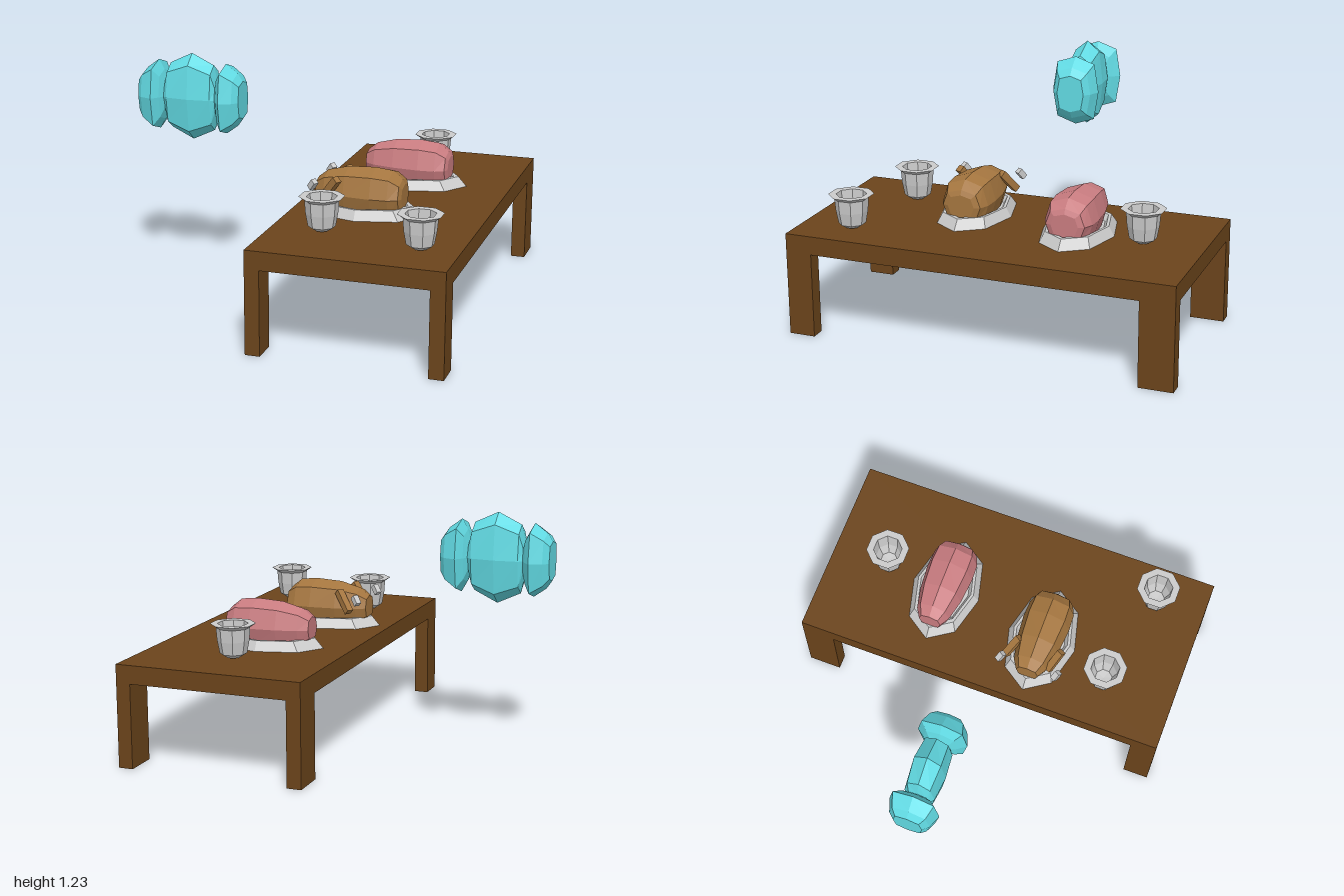
import * as THREE from 'three';

const paint = (color) => new THREE.MeshStandardMaterial({ color, flatShading: true });

function add(parent, name, geometry, material, x = 0, y = 0, z = 0) {
  const mesh = new THREE.Mesh(geometry, material);
  mesh.name = name;
  mesh.position.set(x, y, z);
  parent.add(mesh);
  return mesh;
}

// Eight-sided oval rings along x, each [x, half height, half depth]; ends are closed.
// "square" is how far the diagonal corners reach out (0.71 = regular octagon).
function loft(rings, square) {
  const first = rings[0], last = rings[rings.length - 1];
  const all = [[first[0], 0, 0], ...rings, [last[0], 0, 0]];
  const pos = [], index = [], n = 8;
  for (const [x, ry, rz] of all) {
    for (let j = 0; j < n; j++) {
      const a = (j / n) * Math.PI * 2;
      const k = j % 2 ? square / Math.SQRT1_2 : 1;
      pos.push(x, Math.cos(a) * ry * k, Math.sin(a) * rz * k);
    }
  }
  for (let i = 0; i < all.length - 1; i++) {
    for (let j = 0; j < n; j++) {
      const a = i * n + j, b = i * n + ((j + 1) % n);
      index.push(a, b, a + n, b, b + n, a + n);
    }
  }
  const g = new THREE.BufferGeometry();
  g.setAttribute('position', new THREE.Float32BufferAttribute(pos, 3));
  g.setIndex(index);
  g.computeVertexNormals();
  return g;
}

const lathe = (points, start) =>
  new THREE.LatheGeometry(points.map(([r, y]) => new THREE.Vector2(r, y)), 8, start);

// Box bar running between two points
function bar(parent, name, from, to, thick, material) {
  const a = new THREE.Vector3(...from), b = new THREE.Vector3(...to);
  const mesh = add(parent, name, new THREE.BoxGeometry(thick, thick, a.distanceTo(b)), material);
  mesh.position.copy(a).add(b).multiplyScalar(0.5);
  mesh.lookAt(b);
}

export function createModel() {
  const model = new THREE.Group();
  const wood = paint(0x6b441b), metal = paint(0xcccccc), gem = paint(0x62dbe4);
  const roast = paint(0xa5763f), ham = paint(0xc97c80);

  // Table
  const table = new THREE.Group();
  table.name = 'table';
  model.add(table);
  add(table, 'tableTop', new THREE.BoxGeometry(0.98, 0.095, 2), wood, 0.47, 0.4825, 0);
  for (const x of [0.0175, 0.9225]) {
    add(table, 'frontLeg', new THREE.BoxGeometry(0.075, 0.436, 0.135), wood, x, 0.218, 0.9325);
    add(table, 'backLeg', new THREE.BoxGeometry(0.075, 0.436, 0.175), wood, x, 0.218, -0.9125);
  }

  // Cups with flared rims and hollow bowls
  const cupShape = lathe([[0, 0], [0.035, 0.004], [0.068, 0.025], [0.08, 0.09], [0.085, 0.155],
    [0.114, 0.175], [0.076, 0.175], [0.068, 0.09], [0.045, 0.035], [0, 0.03]], Math.PI / 8);
  for (const [x, z] of [[0.47, -0.69], [0.24, 0.615], [0.765, 0.73]]) {
    add(model, 'cup', cupShape, metal, x, 0.533, z);
  }

  // Platters, each carrying a joint of meat
  const platterShape = lathe([[0, 0], [1, 0], [0.85, 0.05], [0.77, 0.05], [0.68, 0.02], [0, 0.02]], 0);
  const meatShape = loft([[-0.24, 0.06, 0.06], [-0.19, 0.1, 0.09], [-0.08, 0.128, 0.115],
    [0.06, 0.135, 0.127], [0.15, 0.125, 0.122], [0.2, 0.085, 0.1], [0.212, 0.06, 0.07]], 0.76);
  const serve = (name, x, z, material) => {
    const dish = new THREE.Group();
    dish.name = name;
    dish.position.set(x, 0.53, z);
    model.add(dish);
    add(dish, 'platter', platterShape, metal).scale.set(0.3, 1, 0.185);
    add(dish, 'meat', meatShape, material, 0, 0.1, 0);
    return dish;
  };
  serve('hamDish', 0.43, -0.345, ham);
  const bird = serve('roastBirdDish', 0.34, 0.235, roast);

  // Drumsticks with bare bone ends
  for (const s of [-1, 1]) {
    bar(bird, 'drumstick', [-0.08, 0.13, s * 0.09], [-0.2, 0.155, s * 0.145], 0.036, roast);
    bar(bird, 'bone', [-0.2, 0.155, s * 0.145], [-0.245, 0.168, s * 0.162], 0.03, metal);
  }

  // Floating wrapped gem: a barrel body between two flared ends
  const crystal = new THREE.Group();
  crystal.name = 'crystal';
  crystal.position.set(-0.682, 0.992, 0);
  model.add(crystal);
  add(crystal, 'crystalBody', loft([[-0.145, 0.07, 0.06], [-0.122, 0.175, 0.078], [0, 0.233, 0.09],
    [0.122, 0.175, 0.078], [0.145, 0.07, 0.06]], 0.76), gem);
  const endShape = loft([[0.135, 0.05, 0.045], [0.16, 0.135, 0.09], [0.19, 0.188, 0.13],
    [0.255, 0.14, 0.105], [0.283, 0.1, 0.075]], 0.81);
  add(crystal, 'crystalLeftEnd', endShape, gem);
  add(crystal, 'crystalRightEnd', endShape, gem).rotation.y = Math.PI;

  return model;
}
